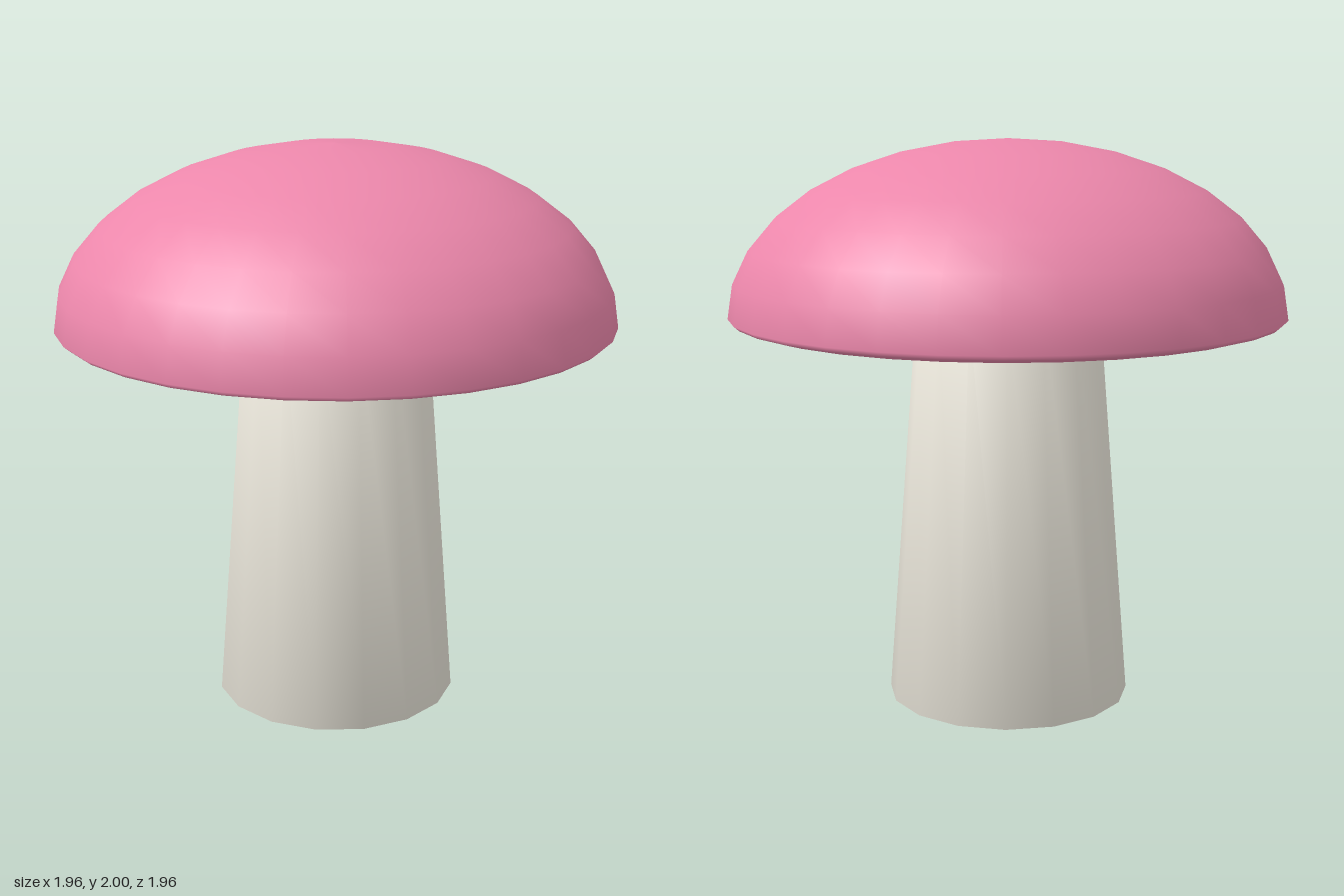
import * as THREE from 'three';

// Smooth turned part from a profile running bottom to top
function turned(name, profile, sides, color) {
  const points = profile.map(([r, y]) => new THREE.Vector2(r, y));
  const mesh = new THREE.Mesh(
    new THREE.LatheGeometry(points, sides),
    new THREE.MeshStandardMaterial({ color })
  );
  mesh.name = name;
  return mesh;
}

export function createModel() {
  const group = new THREE.Group();
  group.name = 'mushroom';

  // Tapered stem, closed at both ends, its top hidden in the cap
  group.add(turned('stem', [[0, 0], [0.435, 0], [0.325, 1.42], [0, 1.42]], 16, 0xf0ece0));

  // Domed cap: a squashed ball whose lower half is almost flat
  const radius = 0.98, rimY = 1.39, domeHeight = 0.61, undersideDepth = 0.083;
  const rings = 16;
  const profile = [];
  for (let i = 0; i <= rings; i++) {
    const a = (i / rings) * Math.PI;
    const h = -Math.cos(a);
    const r = i === 0 || i === rings ? 0 : radius * Math.sin(a);
    profile.push([r, rimY + h * (h > 0 ? domeHeight : undersideDepth)]);
  }
  group.add(turned('cap', profile, 32, 0xec87ab));

  return group;
}
